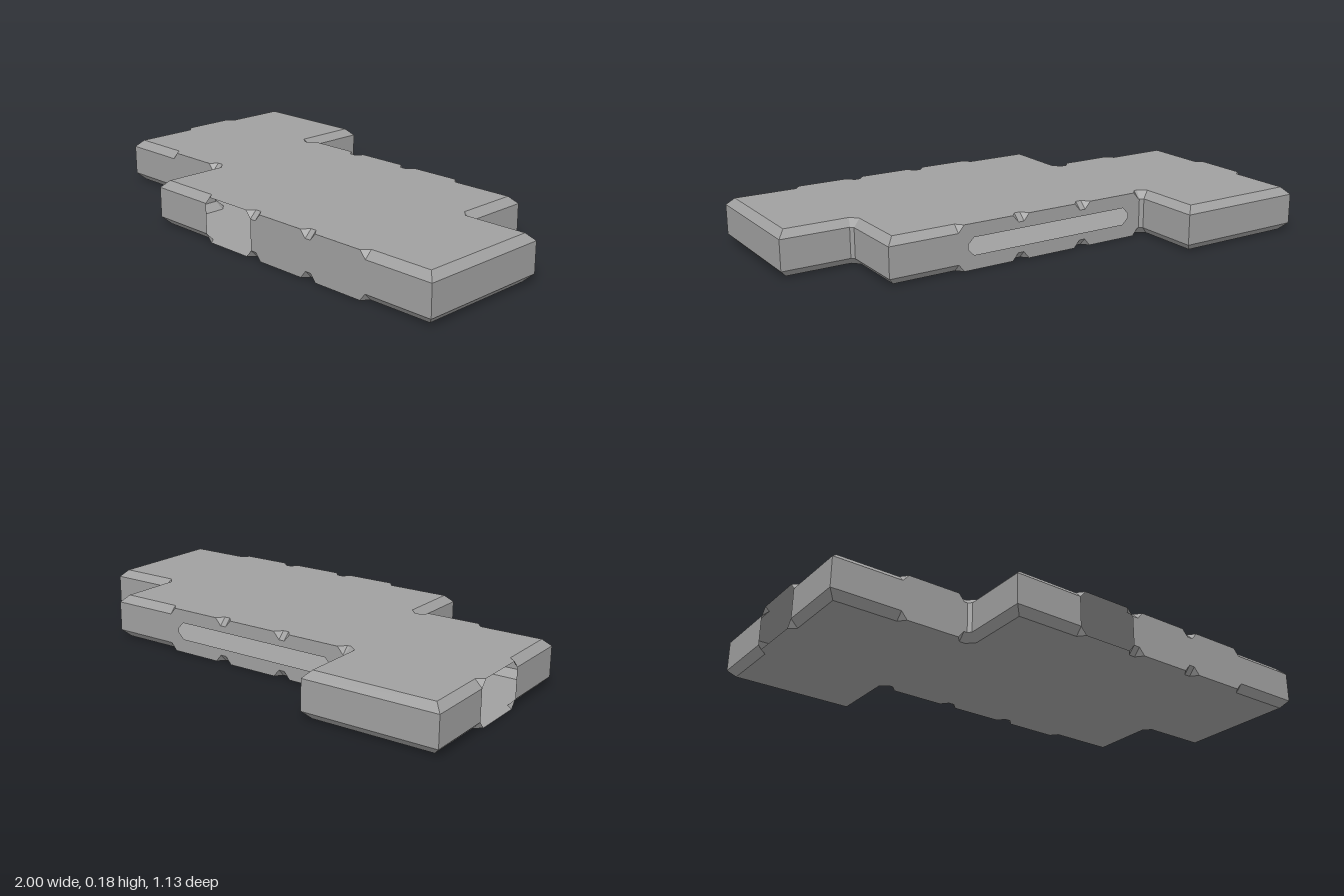
import * as THREE from 'three';

const Y0 = 0, Y1 = 0.03, Y2 = 0.153, Y3 = 0.182; // base, lower bevel, upper bevel, top
const D = 0.029;   // bevel inset
const S = 0.025;   // slope at the end of a bevel run
const BACK = -0.278;

// Stepped plan outline (x, z); flats = stretches of the edge to the next point left unbevelled
const outline = [
  { p: [-1, -0.566] },
  { p: [-0.45, -0.566] },
  { p: [-0.45, -0.289] },
  { p: [-0.435, BACK], slot: true,
    flats: [[-0.43, -0.16], [-0.135, 0.13], [0.155, 0.42]] },
  { p: [0.708, BACK] },
  { p: [0.708, 0.0] },
  { p: [0.72, 0.013] },
  { p: [1, 0.013] },
  { p: [1, 0.566], flats: [[0.71, 0.445], [0.42, 0.155], [0.128, -0.13]], open: 2 },
  { p: [-0.42, 0.566] },
  { p: [-0.42, 0.288] },
  { p: [-0.433, 0.275], flats: [[-0.447, -0.715]] },
  { p: [-1, 0.275], flats: [[-0.015, -0.28]], open: 0 },
];

export function createModel() {
  const group = new THREE.Group();
  const material = new THREE.MeshStandardMaterial({
    color: 0xa0a0a0, flatShading: true, side: THREE.DoubleSide,
  });
  const add = (name, geometry) => {
    const mesh = new THREE.Mesh(geometry, material);
    mesh.name = name;
    group.add(mesh);
  };
  const fromFaces = (faces) => {
    const v = [];
    for (const f of faces)
      for (let i = 1; i < f.length - 1; i++) v.push(...f[0], ...f[i], ...f[i + 1]);
    const g = new THREE.BufferGeometry();
    g.setAttribute('position', new THREE.Float32BufferAttribute(v, 3));
    g.computeVertexNormals();
    return g;
  };

  // Edge directions, outward normals and mitred inset corners
  const n = outline.length;
  const pts = outline.map((o) => new THREE.Vector2(...o.p));
  const dirs = pts.map((p, i) => pts[(i + 1) % n].clone().sub(p).normalize());
  const norms = dirs.map((d) => new THREE.Vector2(d.y, -d.x));
  const inset = pts.map((p, i) => {
    const a = norms[(i + n - 1) % n], b = norms[i];
    return p.clone().addScaledVector(a.clone().add(b), -D / (1 + a.dot(b)));
  });

  const at = (p, y) => [p.x, y, p.y];
  const walls = [], bevels = [], plan = [];
  const wall = (a, b) => walls.push([at(b, Y1), at(a, Y1), at(a, Y2), at(b, Y2)]);
  // Adds a face above, and its mirror image below
  const both = (...corners) => {
    bevels.push(corners.map(([p, top]) => at(p, top ? Y3 : Y2)));
    bevels.push(corners.map(([p, top]) => at(p, top ? Y0 : Y1)).reverse());
  };

  outline.forEach((o, i) => {
    const d = dirs[i], end = pts[(i + 1) % n];
    const along = (t) => (Math.abs(d.x) > 0.9
      ? new THREE.Vector2(t, pts[i].y) : new THREE.Vector2(pts[i].x, t));
    let outer = pts[i], inner = inset[i], wallStart = pts[i];
    plan.push(inner);
    (o.flats || []).forEach(([t0, t1], k) => {
      const a = along(t0), b = along(t1);
      const a1 = a.clone().addScaledVector(d, S), b1 = b.clone().addScaledVector(d, -S);
      const ai = a.clone().addScaledVector(norms[i], -D), bi = b.clone().addScaledVector(norms[i], -D);
      both([a, 0], [outer, 0], [inner, 1], [ai, 1]);      // bevel run before the flat
      both([a1, 1], [a, 0], [ai, 1]);                      // sloped ends
      both([b, 0], [b1, 1], [bi, 1]);
      plan.push(ai, a1, b1, bi);
      if (o.open === k) {                                  // opening of full height
        wall(wallStart, a);
        wallStart = b;
      } else {
        both([b, 0], [a, 0], [a1, 1], [b1, 1]);
        both([b, 0], [a, 0], [ai, 1], [bi, 1]);            // inner bevel behind the flat
      }
      outer = b;
      inner = bi;
    });
    both([end, 0], [outer, 0], [inner, 1], [inset[(i + 1) % n], 1]);
    if (!o.slot) wall(wallStart, end);
  });

  add('sideWalls', fromFaces(walls));
  add('edgeBevels', fromFaces(bevels));

  // Top and bottom plates
  const plate = (sign) => new THREE.ShapeGeometry(
    new THREE.Shape(plan.map((p) => new THREE.Vector2(p.x, sign * p.y))));
  add('topPlate', plate(-1).rotateX(-Math.PI / 2).translate(0, Y3, 0));
  add('bottomPlate', plate(1).rotateX(Math.PI / 2));

  // Back wall with a long slot that has chamfered ends
  const V = (x, y) => new THREE.Vector2(-x, y);
  const back = new THREE.Shape([V(0.708, Y1), V(-0.435, Y1), V(-0.435, Y2), V(0.708, Y2)]);
  back.holes.push(new THREE.Path([
    V(0.378, 0.082), V(0.353, 0.057), V(-0.35, 0.057), V(-0.375, 0.082),
    V(-0.375, 0.102), V(-0.35, 0.127), V(0.353, 0.127), V(0.378, 0.102),
  ]));
  add('slottedBackWall', new THREE.ShapeGeometry(back).rotateY(Math.PI).translate(0, 0, BACK));

  return group;
}
